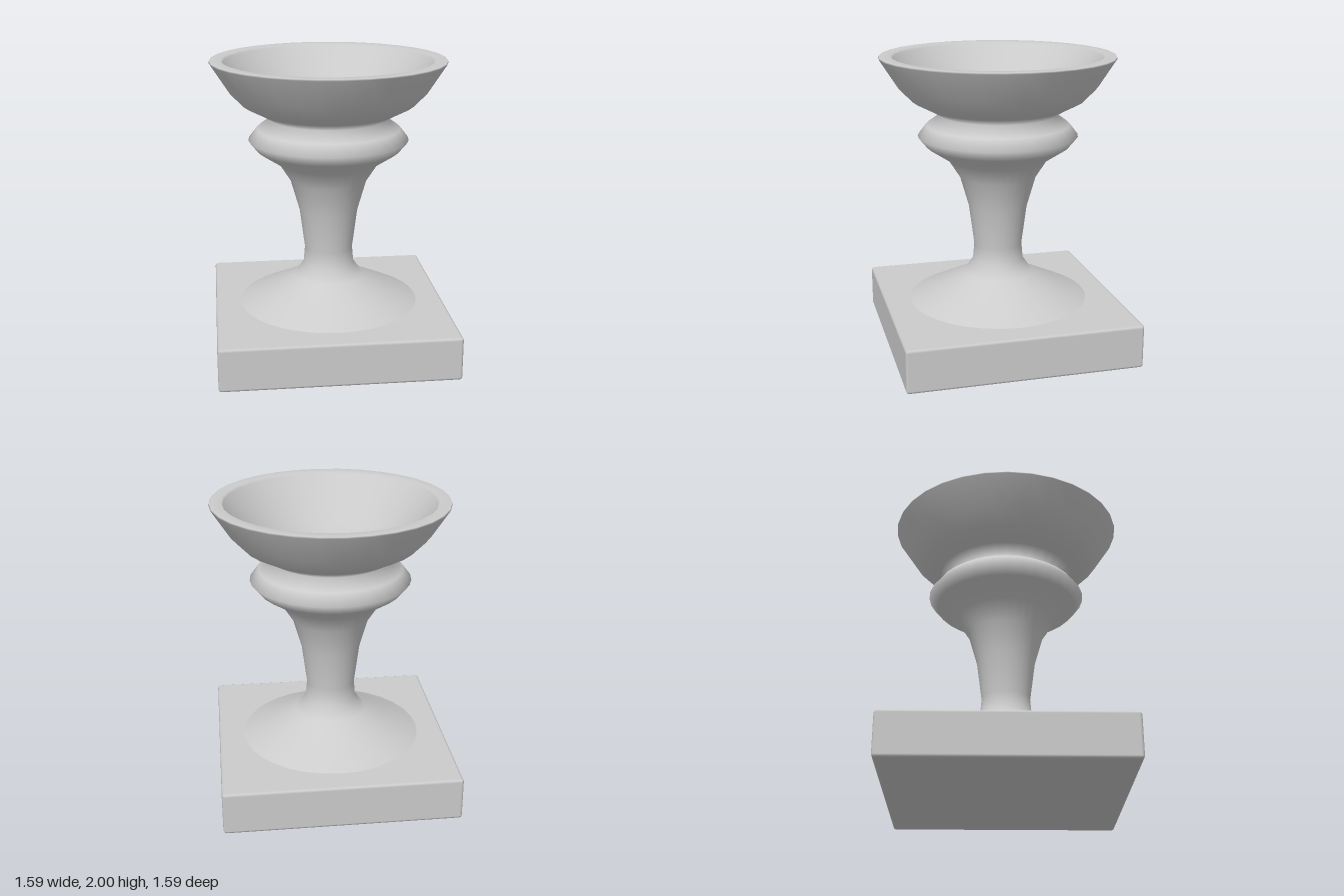
import * as THREE from 'three';
import { RoundedBoxGeometry } from 'three/addons/geometries/RoundedBoxGeometry.js';

const material = new THREE.MeshStandardMaterial({ color: 0xcccccc });
const SIDES = 32;

// Turned part from [radius, height] pairs, running up the outside and down the inside
function turned(name, profile) {
  const points = profile.map(([r, y]) => new THREE.Vector2(r, y));
  const mesh = new THREE.Mesh(new THREE.LatheGeometry(points, SIDES), material);
  mesh.name = name;
  return mesh;
}

export function createModel() {
  const group = new THREE.Group();
  group.name = 'pedestalUrn';

  // Square base slab with softened edges
  const plinth = new THREE.Mesh(new RoundedBoxGeometry(1.59, 0.3, 1.59, 1, 0.02), material);
  plinth.name = 'plinth';
  plinth.position.y = 0.15;
  group.add(plinth);

  // One continuous turning: flared foot, stem, collar, bowl, rim and hollow
  group.add(turned('turnedUrn', [
    // foot and stem
    [0.62, 0.3], [0.24, 0.485], [0.175, 0.575], [0.165, 0.69],
    [0.2, 0.96], [0.26, 1.17], [0.34, 1.295],
    // collar
    [0.485, 1.39], [0.543, 1.46], [0.485, 1.535], [0.39, 1.602],
    // outside of the bowl
    [0.47, 1.65], [0.58, 1.707], [0.67, 1.8], [0.792, 1.99],
    // flat rim
    [0.788, 2.0], [0.71, 2.0],
    // steep conical hollow ending in a narrow round well
    [0.7, 1.985], [0.48, 1.71], [0.25, 1.42], [0.25, 1.27], [0, 1.26],
  ]));

  return group;
}
